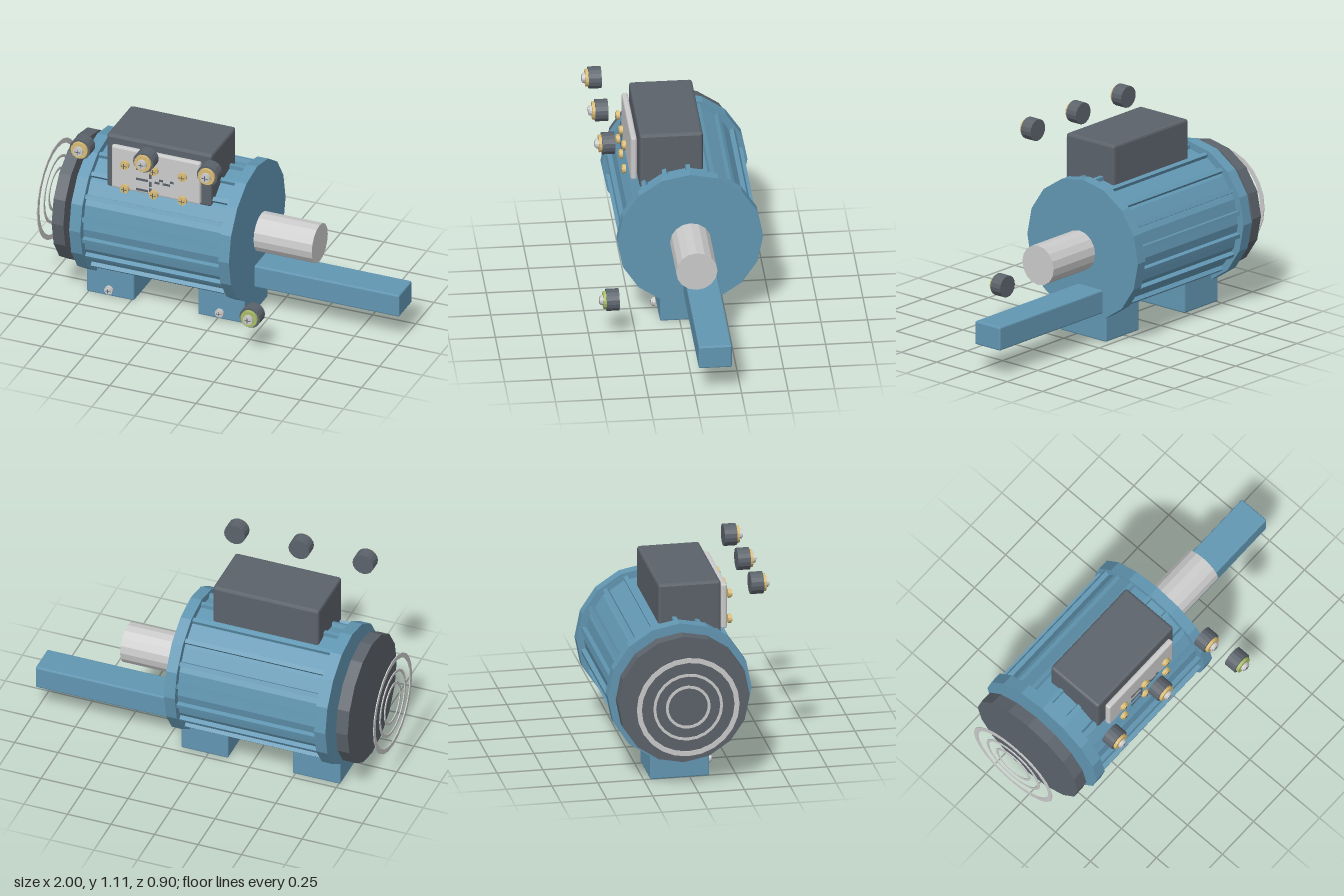
import * as THREE from 'three';
import { RoundedBoxGeometry } from 'three/addons/geometries/RoundedBoxGeometry.js';

const mat = (color) => new THREE.MeshStandardMaterial({ color, flatShading: true, side: THREE.DoubleSide });

export function createModel() {
  const model = new THREE.Group();
  const blue = mat(0x6297b3), dark = mat(0x5c636b), silver = mat(0xcccccc);
  const gold = mat(0xd9bb74), green = mat(0xa9bd6b);
  const AY = 0.493, AZ = -0.056; // shaft axis

  const add = (name, geo, material, parent = model) => {
    const mesh = new THREE.Mesh(geo, material);
    mesh.name = name;
    parent.add(mesh);
    return mesh;
  };
  // Box given by its extents, with softened edges
  const box = (name, x0, x1, y0, y1, z0, z1, material, r = 0.008, parent = model) => {
    const geo = r ? new RoundedBoxGeometry(x1 - x0, y1 - y0, z1 - z0, 1, r)
      : new THREE.BoxGeometry(x1 - x0, y1 - y0, z1 - z0);
    const mesh = add(name, geo, material, parent);
    mesh.position.set((x0 + x1) / 2, (y0 + y1) / 2, (z0 + z1) / 2);
    return mesh;
  };
  // Cylinder along the motor axis
  const drum = (name, r, x0, x1, material) => {
    const geo = new THREE.CylinderGeometry(r, r, x1 - x0, 16).rotateZ(Math.PI / 2);
    add(name, geo, material).position.set((x0 + x1) / 2, AY, AZ);
  };
  // Disc facing the front
  const disc = (name, r, x, y, z0, z1, material, parent = model) => {
    const geo = new THREE.CylinderGeometry(r, r, z1 - z0, 16).rotateX(Math.PI / 2);
    add(name, geo, material, parent).position.set(x, y, (z0 + z1) / 2);
  };
  // Cross slot on a screw head
  const cross = (x, y, z, s, parent) => {
    box('slot', x - s, x + s, y - s * 0.15, y + s * 0.15, z - 0.002, z + 0.001, dark, 0, parent);
    box('slot', x - s * 0.15, x + s * 0.15, y - s, y + s, z - 0.002, z + 0.001, dark, 0, parent);
  };

  // Motor housing
  drum('housing', 0.352, -0.71, 0.11, blue);
  drum('rearFlange', 0.392, -0.765, -0.7, blue);
  drum('frontFlange', 0.392, 0.1, 0.162, blue);
  drum('fanCover', 0.359, -0.88, -0.812, dark);
  drum('shaft', 0.111, 0.187, 0.525, silver);

  // Cooling fins around the housing
  const fins = new THREE.Group();
  fins.name = 'coolingFins';
  fins.position.set(-0.3, AY, AZ);
  model.add(fins);
  for (let i = 0; i < 18; i++) {
    const geo = new THREE.BoxGeometry(0.81, 0.04, 0.024).translate(0, 0.352, 0);
    add('fin', geo, blue, fins).rotation.x = (i * Math.PI) / 9;
  }

  // Grille rings behind the fan cover
  for (const [inner, outer] of [[0.253, 0.28], [0.175, 0.19], [0.107, 0.122]]) {
    const profile = [[inner, 0], [outer, 0], [outer, 0.005], [inner, 0.005], [inner, 0]]
      .map(([r, h]) => new THREE.Vector2(r, h));
    const geo = new THREE.LatheGeometry(profile, 24).rotateZ(-Math.PI / 2);
    add('grilleRing', geo, silver).position.set(-1, AY, AZ);
  }

  // Feet and their bolts
  for (const [x0, x1, bx] of [[-0.76, -0.485, -0.622], [-0.115, 0.157, 0.02]]) {
    box('foot', x0, x1, 0, 0.2, -0.216, 0.106, blue);
    const bolt = new THREE.Group();
    bolt.name = 'footBolt';
    model.add(bolt);
    disc('washer', 0.024, bx, 0.048, 0.12, 0.136, silver, bolt);
    disc('head', 0.016, bx, 0.048, 0.136, 0.143, silver, bolt);
    cross(bx, 0.048, 0.143, 0.013, bolt);
  }

  // Side arm
  box('arm', 0.155, 1, 0.16, 0.292, -0.198, -0.02, blue);

  // Terminal box with cover plate
  box('terminalBox', -0.605, 0.005, 0.73, 1.052, -0.14, 0.2, dark, 0.014);
  box('coverPlate', -0.56, -0.045, 0.757, 1.012, 0.21, 0.243, silver, 0.01);

  // Plate screws
  for (const x of [-0.47, -0.302, -0.135]) for (const y of [0.925, 0.78]) {
    const screw = new THREE.Group();
    screw.name = 'plateScrew';
    model.add(screw);
    disc('head', 0.025, x, y, 0.262, 0.279, gold, screw);
    disc('cap', 0.018, x, y, 0.279, 0.285, gold, screw);
    cross(x, y, 0.285, 0.015, screw);
  }

  // Wiring diagram: small bars as [x, y, width, height]
  const bars = [
    [-0.372, 0.915, 0.07, 0.012], [-0.372, 0.853, 0.07, 0.012], [-0.372, 0.79, 0.07, 0.012],
    [-0.325, 0.885, 0.012, 0.03], [-0.325, 0.835, 0.012, 0.03], [-0.325, 0.8, 0.012, 0.02],
    [-0.285, 0.852, 0.025, 0.012], [-0.262, 0.87, 0.022, 0.012], [-0.24, 0.852, 0.022, 0.012],
    [-0.218, 0.852, 0.018, 0.012], [-0.2, 0.872, 0.02, 0.012],
  ];
  for (const [x, y, w, h] of bars)
    box('diagramBar', x - w / 2, x + w / 2, y - h / 2, y + h / 2, 0.262, 0.266, dark, 0);

  // Floating knobs
  for (const [x, y, ringMat] of [[-0.67, 1.052, gold], [-0.302, 1.052, gold], [0.068, 1.052, gold], [0.315, 0.232, green]]) {
    const knob = new THREE.Group();
    knob.name = 'knob';
    model.add(knob);
    disc('base', 0.06, x, y, 0.343, 0.412, dark, knob);
    disc('ring', 0.048, x, y, 0.412, 0.428, ringMat, knob);
    disc('cap', 0.027, x, y, 0.428, 0.443, silver, knob);
    disc('capTop', 0.02, x, y, 0.443, 0.448, silver, knob);
    cross(x, y, 0.448, 0.016, knob);
  }

  return model;
}
